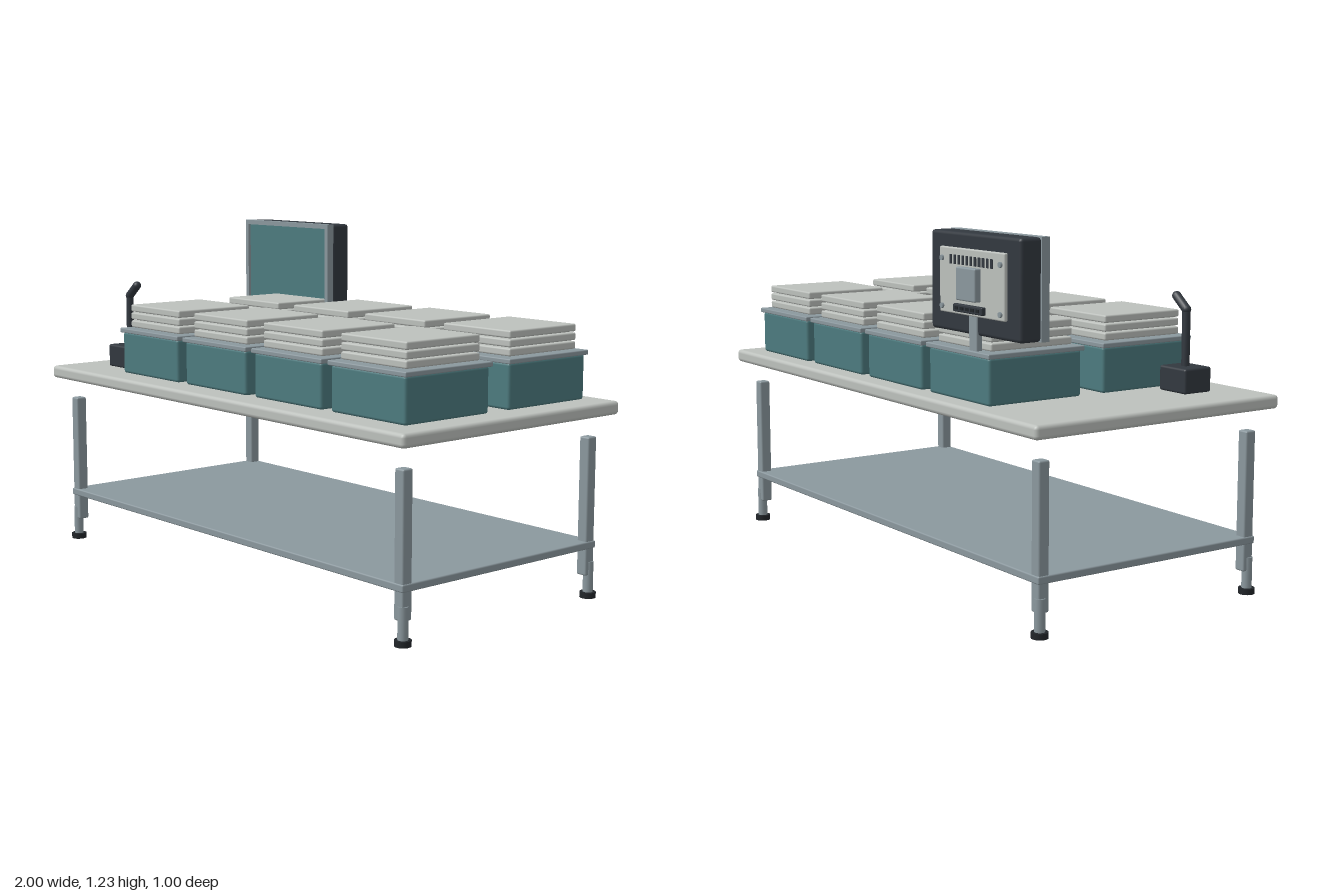
import * as THREE from 'three';
import { RoundedBoxGeometry } from 'three/addons/geometries/RoundedBoxGeometry.js';

const material = (name, color) => {
  const m = new THREE.MeshStandardMaterial({ color });
  m.name = name;
  return m;
};

export function createModel() {
  const model = new THREE.Group();
  model.name = 'sortingTable';
  const light = material('light grey', 0xbdc1bd);
  const steel = material('steel grey', 0x8b989e);
  const teal = material('teal', 0x4d7b7f);
  const dark = material('charcoal', 0x32383f);
  const black = material('black rubber', 0x212529);

  const add = (parent, name, geometry, mat, x, y, z) => {
    const mesh = new THREE.Mesh(geometry, mat);
    mesh.name = name;
    mesh.position.set(x, y, z);
    parent.add(mesh);
    return mesh;
  };
  const group = (name, x = 0, y = 0, z = 0) => {
    const g = new THREE.Group();
    g.name = name;
    g.position.set(x, y, z);
    model.add(g);
    return g;
  };
  const rounded = (w, h, d, r) => new RoundedBoxGeometry(w, h, d, 2, r);
  const box = (w, h, d) => new THREE.BoxGeometry(w, h, d);
  const rod = (r, h, sides = 16) => new THREE.CylinderGeometry(r, r, h, sides);

  // Table top and lower shelf
  add(model, 'tableTop', rounded(2, 0.047, 1, 0.014), light, 0, 0.6615, 0);
  add(model, 'shelf', rounded(1.9, 0.026, 0.904, 0.005), steel, 0, 0.187, 0);

  // Four square legs with adjustable inner posts and round feet
  for (const sx of [-1, 1]) {
    for (const sz of [-1, 1]) {
      const leg = group('leg');
      add(leg, 'legTube', rounded(0.041, 0.482, 0.041, 0.006), steel, sx * 0.926, 0.321, sz * 0.428);
      add(leg, 'innerPost', rod(0.0175, 0.108), steel, sx * 0.935, 0.073, sz * 0.435);
      add(leg, 'foot', rod(0.028, 0.02, 20), black, sx * 0.935, 0.01, sz * 0.435);
    }
  }

  // Eight bins, each with a rim and a stack of three trays
  const binGeo = rounded(0.352, 0.156, 0.369, 0.01);
  const rimGeo = rounded(0.37, 0.017, 0.385, 0.004);
  const trayGeo = rounded(0.31, 0.026, 0.323, 0.006);
  for (const z of [-0.246, 0.215]) {
    for (let i = 0; i < 4; i++) {
      const bin = group('bin', -0.476 + i * 0.4, 0, z);
      add(bin, 'binBody', binGeo, teal, 0, 0.763, 0);
      add(bin, 'binRim', rimGeo, steel, 0, 0.8465, 0);
      for (let k = 0; k < 3; k++) add(bin, 'tray', trayGeo, light, 0, 0.871 + k * 0.0295, 0);
    }
  }

  // Monitor: dark shell, steel frame and recessed screen
  const monitor = group('monitor', -0.556, 1.067, 0);
  add(monitor, 'monitorShell', rounded(0.508, 0.326, 0.082, 0.012), dark, 0, 0, -0.381);
  const rect = (S, w, h) => new S()
    .moveTo(-w / 2, -h / 2).lineTo(w / 2, -h / 2).lineTo(w / 2, h / 2).lineTo(-w / 2, h / 2).closePath();
  const frame = rect(THREE.Shape, 0.51, 0.328);
  frame.holes.push(rect(THREE.Path, 0.476, 0.294));
  add(monitor, 'screenFrame', new THREE.ExtrudeGeometry(frame, { depth: 0.03, bevelEnabled: false }),
    steel, 0, 0, -0.342);
  add(monitor, 'screen', box(0.476, 0.294, 0.02), teal, 0, 0, -0.333);

  // Monitor back: plate with vents, screws, mounting block and connector strip
  add(monitor, 'backPlate', rounded(0.368, 0.214, 0.016, 0.005), light, 0, 0.006, -0.426);
  for (let i = 0; i < 11; i++) {
    add(monitor, 'ventSlot', box(0.013, 0.03, 0.004), dark, (i - 5) * 0.023, 0.075, -0.434);
  }
  for (const sx of [-1, 1]) {
    for (const y of [-0.08, 0.076]) {
      add(monitor, 'screw', rod(0.009, 0.008, 12), steel, sx * 0.165, y, -0.437).rotation.x = Math.PI / 2;
    }
  }
  add(monitor, 'mountBlock', rounded(0.11, 0.107, 0.026, 0.005), steel, 0, 0.002, -0.445);
  add(monitor, 'connectorStrip', rounded(0.165, 0.026, 0.018, 0.004), dark, 0, -0.078, -0.441);
  for (let i = 0; i < 5; i++) {
    add(monitor, 'port', box(0.018, 0.01, 0.004), black, (i - 2) * 0.03, -0.078, -0.45);
  }
  add(monitor, 'neck', rounded(0.045, 0.135, 0.022, 0.004), steel, 0, -0.15, -0.417);

  // Desk microphone
  const mic = group('microphone', -0.77, 0, 0.287);
  add(mic, 'micBase', rounded(0.132, 0.085, 0.115, 0.008), dark, 0, 0.7295, 0);
  add(mic, 'micPost', rod(0.014, 0.195), dark, 0, 0.865, 0);
  add(mic, 'micJoint', new THREE.SphereGeometry(0.016, 16, 10), dark, 0, 0.962, 0);
  add(mic, 'micHead', new THREE.CapsuleGeometry(0.0155, 0.06, 6, 16), dark, 0.027, 0.984, 0)
    .rotation.z = -0.88;

  return model;
}
